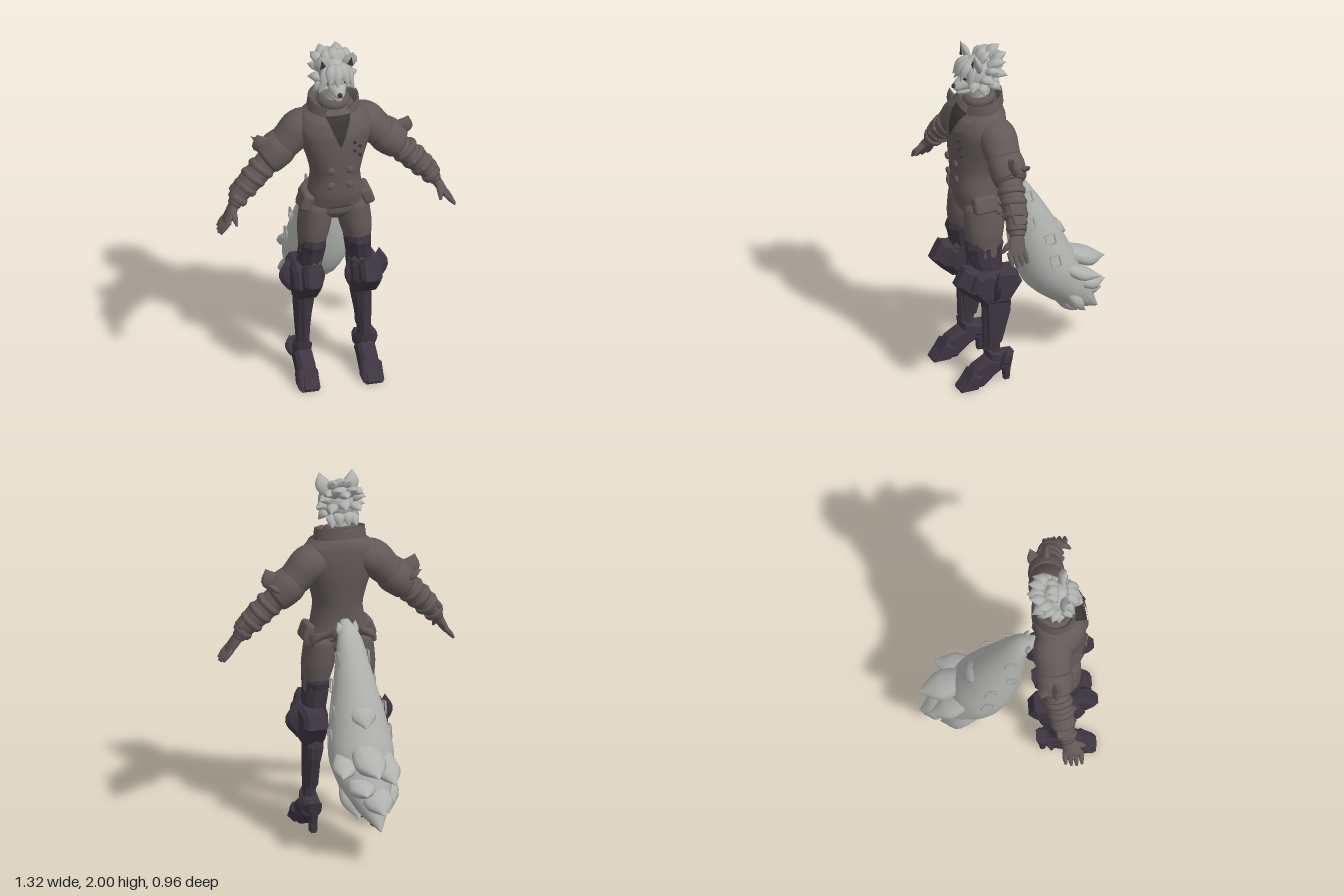
import * as THREE from 'three';
import { RoundedBoxGeometry } from 'three/addons/geometries/RoundedBoxGeometry.js';

const V = (p) => new THREE.Vector3(...p);
const X = V([1, 0, 0]), Z = V([0, 0, 1]);

// Smooth closed loft through stations [x, y, z, halfWidth, halfDepth]
function tube(st, { ref = X, seg = 16, steps = 5, upright = false, e = 2 } = {}) {
  const path = new THREE.CatmullRomCurve3(st.map((s) => V(s.slice(0, 3))));
  const size = new THREE.CatmullRomCurve3(st.map((s) => V([s[3], s[4] ?? s[3], 0])));
  const n = (st.length - 1) * steps, pos = [], idx = [];
  const pw = (v) => Math.sign(v) * Math.abs(v) ** (2 / e);
  for (let i = 0; i <= n; i++) {
    const p = path.getPoint(i / n), r = size.getPoint(i / n);
    const T = upright ? V([0, 1, 0]) : path.getTangent(i / n);
    const S = ref.clone().addScaledVector(T, -ref.dot(T)).normalize();
    const U = T.clone().cross(S);
    for (let j = 0; j < seg; j++) {
      const a = (j / seg) * Math.PI * 2;
      const q = p.clone().addScaledVector(S, Math.max(r.x, 0.001) * pw(Math.cos(a)))
        .addScaledVector(U, Math.max(r.y, 0.001) * pw(Math.sin(a)));
      pos.push(q.x, q.y, q.z);
      if (i < n) {
        const k = i * seg + j, m = i * seg + (j + 1) % seg;
        idx.push(k, m, k + seg, m, m + seg, k + seg);
      }
    }
  }
  const c0 = pos.length / 3, last = n * seg;
  pos.push(...st[0].slice(0, 3), ...st[st.length - 1].slice(0, 3));
  for (let j = 0; j < seg; j++) {
    const k = (j + 1) % seg;
    idx.push(c0, k, j, c0 + 1, last + j, last + k);
  }
  const g = new THREE.BufferGeometry();
  g.setAttribute('position', new THREE.Float32BufferAttribute(pos, 3));
  g.setIndex(idx);
  g.computeVertexNormals();
  return g;
}

// Curved pointed lock or spike
function spike(a, b, r, flat = 0.6, bend = [0, 0, 0], seg = 8) {
  const A = V(a), B = V(b), M = A.clone().lerp(B, 0.45).add(V(bend));
  const ref = Math.abs(B.clone().sub(A).normalize().x) < 0.7 ? X : Z;
  return tube([[...a, r * 0.7, r * 0.7 * flat], [...M.toArray(), r, r * flat], [...b, 0.001, 0.001]], { ref, seg, steps: 4 });
}

// Side-profile plate in [z, y] between two x positions
function plate(pts, x0, x1, bevel = 0.008) {
  const g = new THREE.ExtrudeGeometry(new THREE.Shape(pts.map((p) => new THREE.Vector2(...p))),
    { depth: x1 - x0 - 2 * bevel, bevelSize: bevel, bevelThickness: bevel, bevelOffset: -bevel, bevelSegments: 1 });
  return g.rotateY(-Math.PI / 2).translate(x1 - bevel, 0, 0);
}

function faceted(g) {
  const f = g.index ? g.toNonIndexed() : g;
  f.computeVertexNormals();
  return f;
}

function mirrored(g) {
  const m = g.index ? g.toNonIndexed() : g.clone();
  m.scale(-1, 1, 1);
  for (const k of ['position', 'normal']) {
    const a = m.attributes[k];
    for (let i = 0; i < a.count; i += 3) {
      const p = [a.getX(i + 1), a.getY(i + 1), a.getZ(i + 1)];
      a.setXYZ(i + 1, a.getX(i + 2), a.getY(i + 2), a.getZ(i + 2));
      a.setXYZ(i + 2, ...p);
    }
  }
  if (!m.attributes.normal) m.computeVertexNormals();
  return m;
}

export function createModel() {
  const root = new THREE.Group();
  root.name = 'wolfFigure';
  const mat = (name, color, side = THREE.FrontSide) => Object.assign(new THREE.MeshStandardMaterial({ color, side }), { name });
  const coat = mat('coat cloth', 0x625a58, THREE.DoubleSide);
  const fur = mat('grey fur', 0xb0b2af);
  const armor = mat('dark armour', 0x3e3641);
  const dark = mat('dark detail', 0x3a3636, THREE.DoubleSide);
  const add = (name, g, m) => {
    const o = new THREE.Mesh(g, m);
    o.name = name;
    root.add(o);
  };
  const pair = (name, g, m) => {
    add(name + 'Left', g, m);
    add(name + 'Right', mirrored(g), m);
  };

  // Coat body
  const E = 2.25;
  const body = [[0, 1.08, .285, .165, .115], [0, 1.16, .3, .15, .122], [0, 1.26, .3, .135, .126], [0, 1.36, .296, .155, .136],
    [0, 1.46, .288, .188, .143], [0, 1.54, .282, .205, .143], [0, 1.61, .268, .185, .128], [0, 1.655, .255, .125, .1], [0, 1.68, .25, .06, .06]];
  add('coatBody', tube(body, { seg: 32, upright: true, e: E }), coat);
  const coatZ = (x, y) => {
    const i = Math.max(0, Math.min(body.length - 2, body.findIndex((s) => s[1] > y) - 1));
    const A = body[i], B = body[i + 1], t = (y - A[1]) / (B[1] - A[1]);
    const [cz, a, b] = [2, 3, 4].map((k) => A[k] + (B[k] - A[k]) * t);
    return cz + b * Math.max(0, 1 - Math.abs(x / a) ** E) ** (1 / E);
  };
  // Panel draped over the chest between four [x, y] corners
  const panel = (c, off) => {
    const g = new THREE.PlaneGeometry(1, 1, 6, 10), p = g.attributes.position;
    for (let i = 0; i < p.count; i++) {
      const u = p.getX(i) + .5, v = p.getY(i) + .5;
      const [x, y] = [0, 1].map((k) => (1 - v) * ((1 - u) * c[0][k] + u * c[1][k]) + v * ((1 - u) * c[3][k] + u * c[2][k]));
      p.setXYZ(i, x, y, coatZ(x, y) + off);
    }
    g.computeVertexNormals();
    return g;
  };
  pair('lapel', panel([[.0, 1.46], [.03, 1.47], [.135, 1.61], [.075, 1.645]], .014), coat);
  pair('collarNotch', panel([[.09, 1.56], [.15, 1.58], [.13, 1.63], [.08, 1.645]], .022), coat);
  pair('shirtFront', panel([[0, 1.48], [.005, 1.48], [.07, 1.64], [0, 1.64]], .007), dark);
  pair('coatFlap', panel([[.07, 1.085], [.13, 1.1], [.12, 1.2], [0, 1.165]], .012), coat);
  for (const y of [1.235, 1.33])
    pair('button', new THREE.SphereGeometry(.022, 16, 10).scale(1, 1, .5).translate(.052, y, coatZ(.052, y) + .006), coat);
  for (let i = 0; i < 4; i++)
    add('chestPin', new THREE.SphereGeometry(.01, 8, 6).translate(.08 + .03 * (i % 2), 1.49 - .027 * i, coatZ(.09, 1.45) + .004), dark);

  // Standing collar, tall at the back
  const prof = [[.1, 0], [.11, .04], [.128, .085], [.138, .082], [.145, .02]].map((p) => new THREE.Vector2(...p));
  const collar = new THREE.LatheGeometry(prof, 40, .5, Math.PI * 2 - 1).scale(1, 1, .85);
  const cp = collar.attributes.position;
  for (let i = 0; i < cp.count; i++) cp.setY(i, cp.getY(i) + 1.625 - cp.getZ(i) * .22);
  collar.computeVertexNormals();
  add('collar', collar.translate(0, 0, .262), coat);
  add('neckScarf', new THREE.TorusGeometry(.065, .026, 8, 24).rotateX(Math.PI / 2 + .15).translate(0, 1.69, .265), coat);

  // Trousers and hip pouches
  add('trouserSeat', tube([[0, 1.0, .285, .06, .08], [0, 1.05, .285, .165, .112], [0, 1.12, .285, .16, .114], [0, 1.2, .29, .13, .1]],
    { seg: 24, upright: true }), coat);
  pair('trouserLeg', tube([[.135, .7, .29, .062, .08], [.127, .83, .29, .072, .093], [.112, .95, .287, .09, .112], [.1, 1.06, .283, .088, .114], [.09, 1.12, .283, .06, .08]],
    { upright: true, seg: 20 }), coat);
  pair('hipPouch', new RoundedBoxGeometry(.065, .1, .13, 2, .02).rotateZ(.35).translate(.166, 1.11, .31), coat);
  pair('hipBelt', tube([[.19, 1.06, .25, .015, .03], [.165, 1.1, .2, .015, .03], [.09, 1.13, .168, .03, .016], [0, 1.14, .165, .03, .016]], { seg: 8 }), coat);

  // Sleeves, cuffs and bracers
  const arm = (s, o = {}) => tube(s, { ref: Z, ...o });
  pair('sleeve', arm([[.11, 1.54, .25, .095, .09], [.18, 1.52, .24, .105, .1], [.235, 1.465, .24, .098, .093], [.3, 1.4, .24, .088, .083], [.36, 1.34, .245, .07, .07]], { seg: 24 }), coat);
  pair('elbowCuff', arm([[.265, 1.44, .24, .094, .09], [.3, 1.405, .24, .1, .1], [.36, 1.35, .245, .09, .088], [.375, 1.34, .246, .07, .068]], { seg: 20 }), coat);
  pair('cuffSpike', spike([.345, 1.42, .24], [.42, 1.51, .25], .055, .45, [.015, -.01, 0]), coat);
  pair('rearCuffSpike', spike([.35, 1.39, .19], [.43, 1.45, .16], .035, .5), coat);
  pair('forearm', arm([[.34, 1.36, .245, .07, .066], [.41, 1.29, .26, .068, .066], [.47, 1.235, .27, .066, .064], [.53, 1.165, .285, .05, .046], [.56, 1.12, .295, .042, .034]], { seg: 20 }), coat);
  [[.4, 1.305, .257, .078], [.445, 1.26, .265, .075], [.49, 1.21, .274, .07], [.535, 1.155, .288, .057]].forEach(([x, y, z, r]) =>
    pair('bracerBand', arm([[x - .013, y + .014, z - .003, r * .9], [x, y, z, r], [x + .013, y - .014, z + .003, r * .9]], { steps: 3 }), coat));
  pair('bracerPlate', new RoundedBoxGeometry(.03, .13, .08, 2, .012).rotateZ(.72).translate(.525, 1.235, .275), coat);
  for (const d of [0, .05])
    pair('bracerStud', new THREE.SphereGeometry(.015, 10, 8).translate(.43 + d, 1.265 - d, .333), coat);

  // Gloved hands
  pair('palm', arm([[.55, 1.135, .293, .034, .03], [.575, 1.095, .305, .045, .026], [.605, 1.045, .318, .05, .02], [.612, 1.03, .32, .04, .015]]), coat);
  for (let i = 0; i < 4; i++) {
    const z = .275 + i * .029, l = [.85, .97, 1, .9][i];
    pair('finger', arm([[.598, 1.055, z, .013], [.598 + .03 * l, 1.055 - .035 * l, z, .014], [.6 + .055 * l, 1.055 - .072 * l, z + .002, .007]], { seg: 8 }), coat);
  }
  pair('thumb', arm([[.57, 1.1, .325, .018], [.57, 1.075, .36, .017], [.565, 1.04, .388, .007]], { seg: 8, ref: X }), coat);

  // Armoured legs
  const metal = (name, g) => pair(name, faceted(g), armor);
  metal('thighGuard', tube([[.15, .6, .28, .06, .075], [.137, .72, .285, .07, .088], [.127, .8, .293, .073, .1], [.123, .875, .296, .073, .1]], { seg: 10, steps: 2, upright: true }));
  metal('kneeGuard', plate([[.43, .745], [.485, .645], [.43, .585], [.36, .52], [.3, .53], [.28, .62], [.32, .71]], .11, .205, .022));
  metal('kneeSidePlate', plate([[.38, .7], [.41, .6], [.33, .5], [.24, .56], [.24, .68], [.3, .72]], .085, .245, .025));
  metal('kneeRearPlate', plate([[.29, .71], [.14, .69], [.108, .61], [.19, .495], [.3, .51], [.26, .6]], .1, .235, .022));
  metal('kneeFin', spike([.215, .55, .28], [.255, .72, .26], .05, .35, [.02, 0, 0], 6));
  metal('innerKneeFin', spike([.105, .52, .3], [.08, .7, .29], .03, .4, [-.01, 0, 0], 6));
  metal('shin', tube([[.17, .16, .265, .035, .04], [.17, .25, .262, .04, .045], [.165, .38, .25, .052, .066], [.158, .48, .24, .062, .085], [.155, .58, .265, .065, .075]], { seg: 8, steps: 2, upright: true }));
  metal('shinPlate', plate([[.325, .53], [.315, .2], [.28, .19], [.27, .5]], .14, .185, .014));
  metal('calfPlate', plate([[.22, .53], [.16, .49], [.165, .42], [.215, .24], [.25, .24], [.25, .5]], .13, .2, .016));
  metal('ankleGuard', plate([[.31, .22], [.3, .14], [.22, .1], [.17, .1], [.15, .175], [.21, .18]], .125, .218, .018));
  metal('ankleFin', spike([.21, .11, .24], [.225, .21, .2], .03, .4, [.01, 0, 0], 6));
  metal('foot', plate([[.3, .17], [.38, .125], [.43, .06], [.475, .015], [.47, 0], [.33, 0], [.26, .06], [.2, .09], [.23, .15]], .125, .222, .02));
  metal('toeCap', plate([[.4, .105], [.435, .05], [.47, 0], [.37, 0], [.34, .07]], .118, .236, .014));
  metal('heel', plate([[.21, .12], [.15, .13], [.165, .06], [.17, 0], [.2, 0], [.205, .06]], .15, .195, .01));

  // Head and muzzle
  add('neck', tube([[0, 1.6, .25, .06], [0, 1.7, .262, .058], [0, 1.8, .275, .06]], { upright: true }), fur);
  add('skull', new THREE.SphereGeometry(1, 24, 18).scale(.085, .1, .1).translate(0, 1.845, .277), fur);
  add('muzzle', tube([[0, 1.81, .32, .06, .052], [0, 1.795, .365, .045, .038], [0, 1.78, .405, .028, .024], [0, 1.778, .418, .012, .01]]), fur);
  add('jaw', tube([[0, 1.765, .3, .045, .028], [0, 1.75, .36, .032, .02], [0, 1.745, .395, .014, .01]]), fur);
  add('nose', new THREE.SphereGeometry(.014, 10, 8).translate(0, 1.788, .415), dark);
  pair('eye', new THREE.CircleGeometry(.014, 12).scale(1.2, .6, 1).rotateY(.45).translate(.045, 1.845, .372), dark);
  pair('ear', spike([.06, 1.89, .3], [.093, 2.0, .335], .042, .5, [.006, 0, -.005]), fur);
  pair('innerEar', new THREE.CircleGeometry(.026, 3).rotateZ(Math.PI / 2 - .28).scale(.8, 1.35, 1).translate(.078, 1.94, .339), dark);

  // Swept hair and cheek locks
  [[[.06, 1.82, .28], [.138, 1.83, .24]], [[.06, 1.79, .28], [.115, 1.75, .28]], [[.06, 1.86, .25], [.13, 1.885, .2]],
    [[.05, 1.8, .31], [.1, 1.78, .35]], [[.06, 1.9, .24], [.1, 1.925, .15]], [[.04, 1.9, .21], [.045, 1.955, .125]], [[.05, 1.84, .21], [.085, 1.83, .135]],
    [[.05, 1.78, .23], [.07, 1.735, .165]], [[.03, 1.91, .28], [.045, 1.975, .22]], [[.025, 1.8, .21], [.025, 1.74, .16]],
    [[.03, 1.925, .31], [.09, 1.8, .365]], [[.02, 1.93, .33], [.05, 1.835, .4]]]
    .forEach(([a, b]) => pair('hairLock', spike(a, b, .034, .7, [0, .012, 0]), fur));
  [[[0, 1.9, .2], [0, 1.92, .11]], [[0, 1.85, .2], [.005, 1.845, .125]], [[.01, 1.92, .28], [-.015, 1.98, .22]], [[.01, 1.93, .33], [-.012, 1.83, .41]]]
    .forEach(([a, b]) => add('centreLock', spike(a, b, .036, .7, [0, .012, 0]), fur));

  // Tail with overlapping tufts
  add('tail', tube([[0, 1.2, .17, .025, .02], [0, 1.13, .085, .065, .05], [0, .95, .01, .105, .1], [0, .75, -.055, .15, .145], [0, .56, -.13, .178, .16],
    [0, .42, -.23, .15, .125], [-.01, .3, -.34, .085, .07], [-.02, .2, -.44, .004, .004]], { seg: 24 }), fur);
  [[[.02, .62, -.22], [.0, .515, -.475], .09], [[.1, .58, -.17], [.175, .5, -.38], .07], [[-.08, .58, -.2], [-.11, .45, -.42], .075],
    [[.06, .46, -.26], [.06, .41, -.45], .075], [[-.02, .42, -.28], [-.03, .3, -.47], .085], [[-.1, .48, -.15], [-.09, .27, -.36], .08],
    [[.08, .46, -.17], [.07, .24, -.33], .08], [[0, .42, -.16], [-.015, .2, -.32], .09], [[0, .85, -.1], [.0, .72, -.245], .075]]
    .forEach(([a, b, r]) => add('tailTuft', spike(a, b, r, .55, [0, -.02, -.01], 10), fur));
  for (let i = 0; i < 3; i++)
    add('tailRootTuft', spike([(i - 1) * .03, 1.13, .1], [(i - 1) * .05, 1.21, .13], .025), fur);

  // Square buckles along the tail
  [[.085, 1.04, .02], [.118, .89, .02], [.145, .78, -.09], [.168, .65, -.11]].forEach(([x, y, z], i) =>
    pair('tailBuckle', new THREE.TorusGeometry(.038, .006, 4, 4).rotateZ(Math.PI / 4).scale(1, 1.2 + .15 * (i % 2), 1)
      .rotateY(Math.PI / 2).rotateX(.2).translate(x, y, z), fur));
  return root;
}
